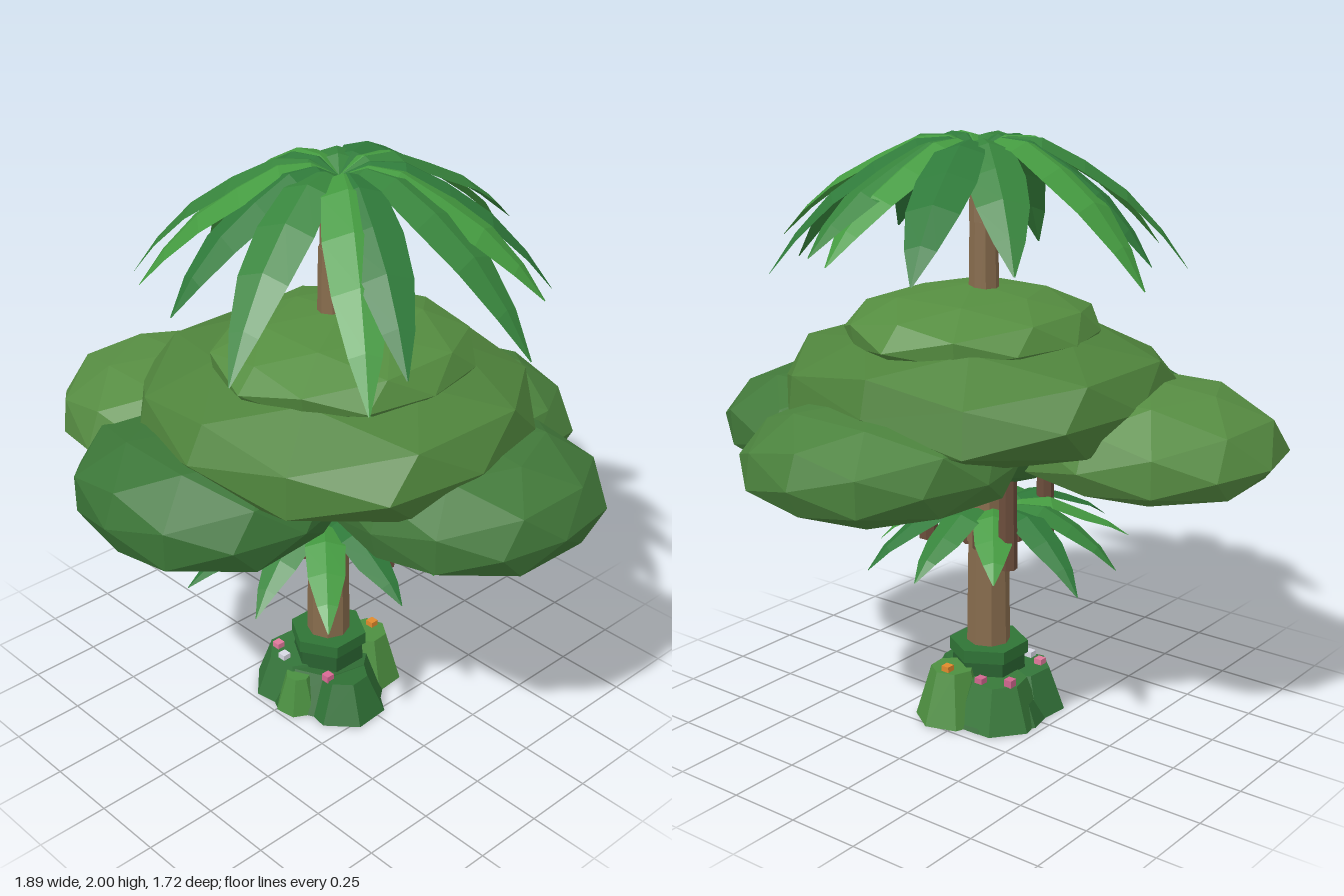
import * as THREE from 'three';

const mat = (color, side = THREE.FrontSide) =>
  new THREE.MeshStandardMaterial({ color, flatShading: true, side });
const GREENS = [0x2f7a3a, 0x449a40, 0x37843c].map((c) => mat(c, THREE.DoubleSide));
const BARK = mat(0x876c4d), DARK_BARK = mat(0x6b4d3b);

function add(parent, name, geometry, material, x = 0, y = 0, z = 0) {
  const mesh = new THREE.Mesh(geometry, material);
  mesh.name = name;
  mesh.position.set(x, y, z);
  parent.add(mesh);
  return mesh;
}

// Faceted foliage clump: icosphere squared off by an exponent, squashed and slightly uneven
function clump(parent, name, color, [x, y, z], [rx, up, down, rz], power, seed) {
  const geo = new THREE.IcosahedronGeometry(1, 1);
  const p = geo.attributes.position;
  const v = new THREE.Vector3();
  for (let i = 0; i < p.count; i++) {
    v.fromBufferAttribute(p, i);
    const norm = [v.x, v.y, v.z].reduce((s, c) => s + Math.abs(c) ** power, 0) ** (1 / power);
    const k = (1 + 0.035 * Math.sin(v.x * 5.1 + seed) * Math.cos(v.z * 4.3 + seed * 2 + v.y * 3)) / norm;
    p.setXYZ(i, v.x * rx * k, v.y * (v.y > 0 ? up : down) * k, v.z * rz * k);
  }
  geo.computeVertexNormals();
  add(parent, name, geo, mat(color), x, y, z);
}

// Drooping leaf along +x: ridged strip from cross-sections [distance, height, half width]
function frondGeometry(sections, length, drop, width) {
  const pos = [], index = [];
  sections.forEach(([d, h, w], i) => {
    const x = d * length, y = h < 0 ? h * drop : h, half = w * width;
    pos.push(x, y - half * 0.3, -half, x, y, 0, x, y - half * 0.3, half);
    if (!i) return;
    const a = (i - 1) * 3, b = i * 3;
    for (const s of [0, 1])
      index.push(a + s, a + s + 1, b + s, a + s + 1, b + s + 1, b + s);
  });
  const geo = new THREE.BufferGeometry();
  geo.setAttribute('position', new THREE.Float32BufferAttribute(pos, 3));
  geo.setIndex(index);
  geo.computeVertexNormals();
  return geo;
}

// Ring of fronds reaching to the given [x, z, tip height] points, with husk stubs beneath
function palm(name, [cx, cy, cz], tips, sections, width, huskRadius) {
  const g = new THREE.Group();
  g.name = name;
  g.position.set(cx, cy, cz);
  tips.forEach(([x, z, y], i) => {
    const dx = x - cx, dz = z - cz;
    const geo = frondGeometry(sections, Math.hypot(dx, dz), cy - y, width);
    const leaf = add(g, 'frond', geo, GREENS[i % 3]);
    leaf.rotation.y = -Math.atan2(dz, dx);
  });
  for (let i = 0; i < 8; i++) {
    const a = (i / 8) * Math.PI * 2;
    add(g, 'husk', new THREE.CylinderGeometry(0.018, 0.018, 0.06, 6), DARK_BARK,
      Math.cos(a) * huskRadius, -0.08, Math.sin(a) * huskRadius);
  }
  return g;
}

export function createModel() {
  const tree = new THREE.Group();
  tree.name = 'tree';

  // Trunk, tapering in stacked sections [bottom y, top y, bottom radius, top radius, x]
  for (const [y0, y1, r0, r1, x] of [
    [0, 0.62, 0.08, 0.07, 0.015],
    [0.62, 1.2, 0.07, 0.06, 0.022],
    [1.2, 1.72, 0.055, 0.047, 0.034],
    [1.72, 1.95, 0.046, 0.04, 0.038],
  ])
    add(tree, 'trunk', new THREE.CylinderGeometry(r1, r0, y1 - y0, 8), BARK, x, (y0 + y1) / 2, 0);

  // Hanging roots below the canopy
  for (const [x, z] of [[0.235, -0.06], [-0.165, -0.13], [-0.07, 0.21]])
    add(tree, 'hangingRoot', new THREE.CylinderGeometry(0.029, 0.034, 0.36, 7), DARK_BARK, x, 0.78, z);

  // Canopy clumps
  const canopy = new THREE.Group();
  canopy.name = 'canopy';
  tree.add(canopy);
  clump(canopy, 'mainClump', 0x4f843c, [0.05, 1.18, 0], [0.65, 0.21, 0.21, 0.61], 2.6, 1);
  clump(canopy, 'topClump', 0x558d40, [0.07, 1.36, -0.01], [0.42, 0.15, 0.1, 0.45], 2.1, 2);
  clump(canopy, 'innerClump', 0x3f7838, [0.02, 1.0, 0], [0.34, 0.15, 0.15, 0.34], 2, 7);
  clump(canopy, 'frontClump', 0x3b7537, [-0.08, 0.99, 0.42], [0.43, 0.2, 0.18, 0.44], 2.5, 3);
  clump(canopy, 'leftClump', 0x42793a, [0.51, 1.0, -0.12], [0.435, 0.2, 0.17, 0.42], 2.45, 4);
  clump(canopy, 'rightClump', 0x568c42, [-0.49, 1.01, 0.2], [0.455, 0.23, 0.155, 0.42], 2.1, 5);
  clump(canopy, 'backClump', 0x4b823d, [0.12, 1.0, -0.43], [0.43, 0.2, 0.17, 0.43], 2.4, 6);

  // Crown of long fronds
  tree.add(palm('crown', [0.04, 1.95, -0.02], [
    [-0.26, -0.71, 1.65], [0.1, -0.68, 1.66], [0.17, -0.68, 1.68], [0.5, -0.52, 1.57],
    [0.66, -0.29, 1.65], [0.76, -0.12, 1.54], [0.68, 0.32, 1.6], [0.64, 0.43, 1.51],
    [0.28, 0.64, 1.54], [-0.07, 0.57, 1.62], [-0.33, 0.49, 1.62], [-0.52, 0.37, 1.57],
    [-0.55, 0.1, 1.62], [-0.61, -0.03, 1.57], [-0.37, -0.37, 1.64],
  ], [
    [0, 0, 0.25], [0.14, 0.045, 0.5], [0.3, 0.04, 0.85], [0.5, -0.08, 1],
    [0.7, -0.33, 0.88], [0.87, -0.66, 0.52], [1, -1, 0.03],
  ], 0.095, 0.055));

  // Lower skirt of short fronds
  const skirtTips = [];
  for (let i = 0; i < 11; i++) {
    const a = (i / 11) * Math.PI * 2 + 0.1, r = 0.46 + 0.04 * Math.sin(i * 2.4);
    skirtTips.push([0.005 + Math.cos(a) * r, 0.045 + Math.sin(a) * r, 0.59 + 0.025 * Math.cos(i * 1.7)]);
  }
  tree.add(palm('skirt', [0.02, 0.715, 0.03], skirtTips, [
    [0, 0, 0.3], [0.2, 0.04, 0.7], [0.42, 0.045, 1], [0.65, -0.04, 0.9],
    [0.85, -0.48, 0.5], [1, -1, 0.03],
  ], 0.068, 0.085));

  // Mossy base: sloping faceted mounds [x, z, bottom radius, top radius, height, colour]
  const base = new THREE.Group();
  base.name = 'mossBase';
  tree.add(base);
  [
    [0.0, 0.0, 0.235, 0.165, 0.14, 0x2f6b33],
    [-0.06, 0.07, 0.17, 0.115, 0.15, 0x34753a],
    [0.14, 0.04, 0.15, 0.085, 0.138, 0x2f7035],
    [-0.08, -0.07, 0.155, 0.1, 0.155, 0x38793a],
    [0.03, 0.16, 0.085, 0.045, 0.132, 0x4a8f40],
    [0.06, -0.145, 0.13, 0.075, 0.185, 0x4d8f40],
  ].forEach(([x, z, r0, r1, h, color], i) => {
    const m = add(base, 'mossMound', new THREE.CylinderGeometry(r1, r0, h, 7), mat(color), x, h / 2 + 0.003, z);
    m.rotation.y = i * 0.6;
  });
  add(base, 'collar', new THREE.CylinderGeometry(0.125, 0.13, 0.1, 6), mat(0x28602f), 0.015, 0.165, 0);
  add(base, 'collarRim', new THREE.CylinderGeometry(0.138, 0.138, 0.045, 6), mat(0x2f7436), 0.015, 0.232, 0);

  // Small blossoms on the moss
  for (const [x, y, z, color] of [
    [-0.155, 0.17, -0.1, 0xd0678f], [-0.12, 0.16, 0.12, 0xe07a9c], [-0.055, 0.16, 0.15, 0xd8d8e4],
    [0.13, 0.148, 0.11, 0xd86a94], [0.05, 0.195, -0.185, 0xe08a2c], [-0.06, 0.165, -0.14, 0xd0678f],
  ])
    add(base, 'blossom', new THREE.BoxGeometry(0.03, 0.026, 0.03), mat(color), x, y, z);

  return tree;
}
